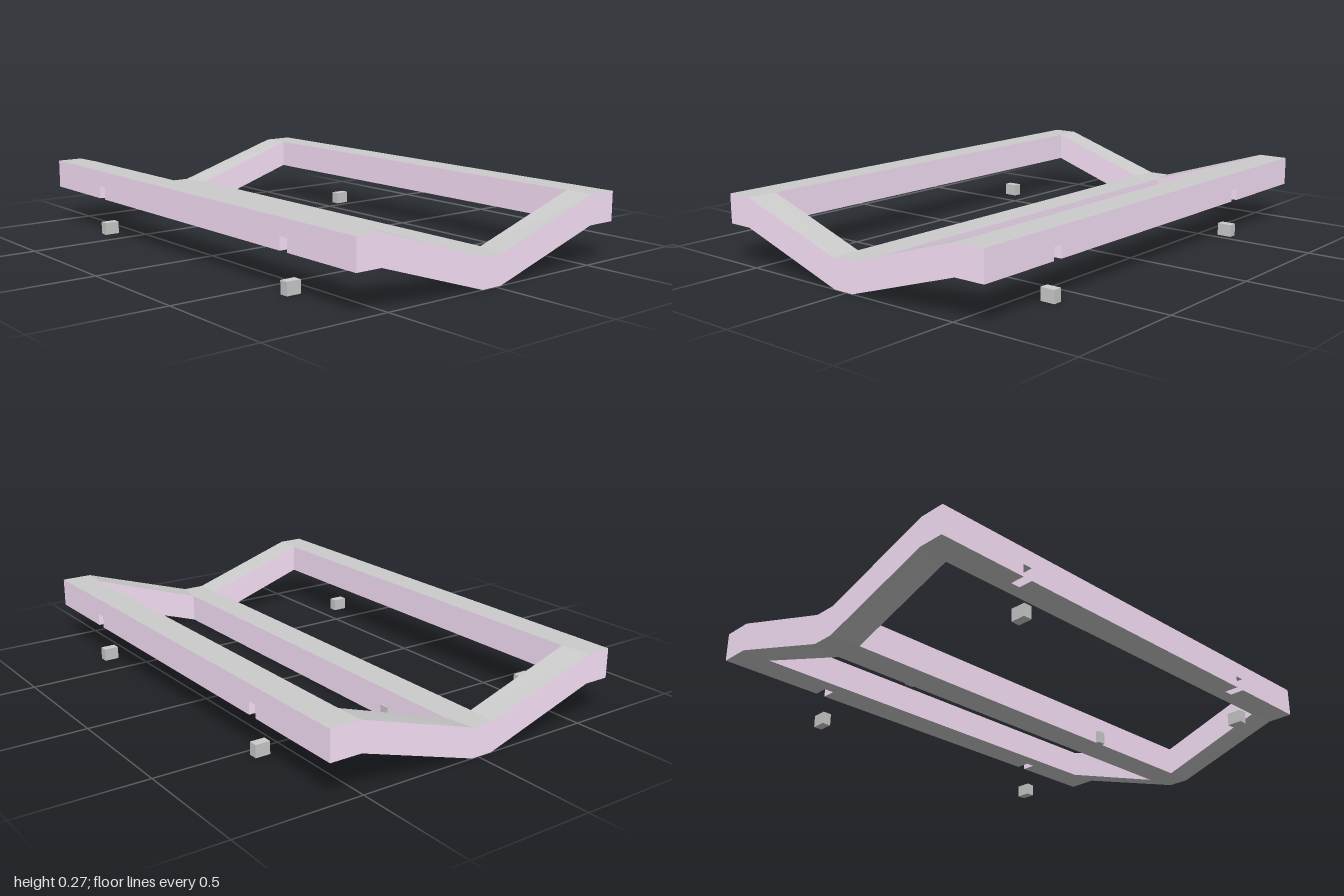
import * as THREE from 'three';

const THICK = 0.116, NOTCH = 0.05;
// Columns across the frame, with the notch edges included
const xs = [-1, -0.88, -0.63, -0.59, -0.57, -0.53, 0.61, 0.65, 0.88, 1];
// Rows from front to back: bend lines differ slightly between outer edge and inner openings
const zOuter = [0.635, 0.575, 0.53, 0.063, -0.027, -0.51, -0.575, -0.635];
const zInner = [0.635, 0.575, 0.52, 0.07, -0.05, -0.515, -0.575, -0.635];
const yBase = [0.15, 0.15, 0.15, 0, 0, 0.15, 0.15, 0.15];
const COLS = xs.length - 1, ROWS = yBase.length - 1;

const solid = (i, j) => i >= 0 && j >= 0 && i < COLS && j < ROWS &&
  !((j === 2 || j === 4) && i > 0 && i < COLS - 1);

// How far the underside of a cell is cut away
function lift(i, j) {
  const front = j === 0 && (i === 2 || i === 6);
  const back = j === ROWS - 1 && (i === 4 || i === 6);
  return front || back ? NOTCH : 0;
}

function point(i, j, h) {
  const z = i === 0 || i === COLS ? zOuter[j] : zInner[j];
  return [xs[i], yBase[j] + h, z];
}

function surface(name, positions, material) {
  const g = new THREE.BufferGeometry();
  g.setAttribute('position', new THREE.Float32BufferAttribute(positions, 3));
  g.computeVertexNormals();
  const mesh = new THREE.Mesh(g, material);
  mesh.name = name;
  return mesh;
}

export function createModel() {
  const model = new THREE.Group();
  model.name = 'bentFrame';
  const grey = new THREE.MeshStandardMaterial({ color: 0xcccccc, flatShading: true });
  const pink = new THREE.MeshStandardMaterial({ color: 0xfde6fd, flatShading: true });

  const faces = [], walls = [];
  const quad = (out, a, b, c, d) => out.push(...a, ...b, ...c, ...a, ...c, ...d);

  for (let i = 0; i < COLS; i++) {
    for (let j = 0; j < ROWS; j++) {
      if (!solid(i, j)) continue;
      const low = lift(i, j);
      const corners = [[i, j], [i + 1, j], [i + 1, j + 1], [i, j + 1]];
      const at = (k, h) => point(...corners[k % 4], h);

      // Top and underside
      quad(faces, at(0, THICK), at(1, THICK), at(2, THICK), at(3, THICK));
      quad(faces, at(3, low), at(2, low), at(1, low), at(0, low));

      // Walls on open sides and around notches
      [[0, -1], [1, 0], [0, 1], [-1, 0]].forEach(([di, dj], k) => {
        const top = solid(i + di, j + dj) ? lift(i + di, j + dj) : THICK;
        if (top > low) quad(walls, at(k, low), at(k + 1, low), at(k + 1, top), at(k, top));
      });
    }
  }
  model.add(surface('frameFaces', faces, grey), surface('frameWalls', walls, pink));

  // Small blocks below the outer notches and set into the middle bar
  const blocks = [
    ['frontRightBlock', -0.61, 0.605], ['frontLeftBlock', 0.63, 0.605],
    ['backRightBlock', -0.55, -0.605], ['backLeftBlock', 0.63, -0.605],
    ['middleFrontBlock', 0.39, 0.055], ['middleBackBlock', -0.55, -0.027],
  ];
  const blockGeometry = new THREE.BoxGeometry(0.036, 0.05, 0.06);
  for (const [name, x, z] of blocks) {
    const block = new THREE.Mesh(blockGeometry, grey);
    block.name = name;
    block.position.set(x, 0.025, z);
    model.add(block);
  }
  return model;
}
